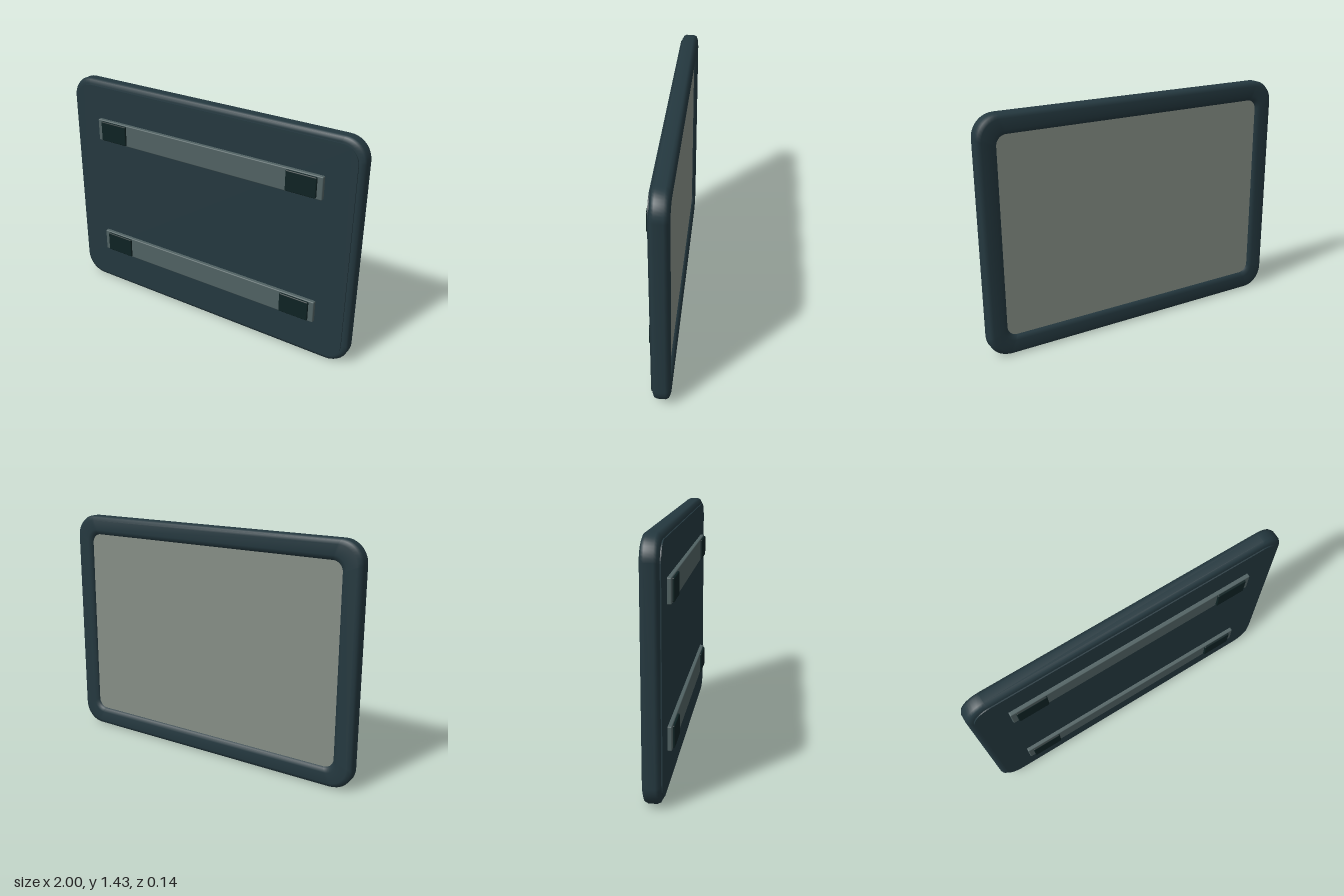
import * as THREE from 'three';
import { RoundedBoxGeometry } from 'three/addons/geometries/RoundedBoxGeometry.js';

const W = 1, H = 0.715; // half width and half height

// Rounded rectangle outline, counter-clockwise seen from +z
function outline(hw, hh, r, steps = 10) {
  const pts = [];
  [[1, 1], [-1, 1], [-1, -1], [1, -1]].forEach(([sx, sy], q) => {
    for (let i = 0; i <= steps; i++) {
      const a = (q + i / steps) * Math.PI / 2;
      pts.push(new THREE.Vector2(sx * (hw - r) + r * Math.cos(a), sy * (hh - r) + r * Math.sin(a)));
    }
  });
  return pts;
}

// Chamfered cross-section [inset, z] swept around the outline, smooth shaded
function frameGeometry() {
  const profile = [
    [0.026, 0.03], [0.007, 0.02], [0, 0.004], [0, -0.044], [0.008, -0.062], [0.028, -0.07],
    [0.088, -0.07], [0.11, -0.062], [0.12, -0.044], [0.12, 0.004], [0.095, 0.03],
  ];
  const position = [], index = [];
  const n = outline(W, H, 0.1).length, m = profile.length;
  for (const [d, z] of profile) {
    for (const p of outline(W - d, H - d, 0.13 - 0.6 * d)) position.push(p.x, p.y, z);
  }
  for (let j = 0; j < m; j++) {
    for (let i = 0; i < n; i++) {
      const k = (i + 1) % n, l = (j + 1) % m;
      const a = j * n + i, b = j * n + k, c = l * n + i, e = l * n + k;
      index.push(a, c, b, b, c, e);
    }
  }
  const g = new THREE.BufferGeometry();
  g.setAttribute('position', new THREE.Float32BufferAttribute(position, 3));
  g.setIndex(index);
  g.computeVertexNormals();
  return g;
}

// Flat rounded plate between two depths
function plateGeometry(hw, hh, r, z0, z1) {
  const g = new THREE.ExtrudeGeometry(new THREE.Shape(outline(hw, hh, r)), { depth: z1 - z0, bevelEnabled: false });
  return g.translate(0, 0, z0);
}

export function createModel() {
  const mat = (name, color) => {
    const m = new THREE.MeshStandardMaterial({ color });
    m.name = name;
    return m;
  };
  const casing = mat('dark slate casing', 0x24383f);
  const metal = mat('grey rail', 0x506162);
  const rubber = mat('black green rubber', 0x0e2223);
  const glass = mat('pale grey surface', 0x868e86);

  const model = new THREE.Group();
  model.name = 'framedPanel';
  const add = (name, geometry, material, x, y, z) => {
    const mesh = new THREE.Mesh(geometry, material);
    mesh.name = name;
    mesh.position.set(x, y, z);
    model.add(mesh);
  };

  // Casing: surrounding frame, front cover and the recessed sheet behind
  add('frame', frameGeometry(), casing, 0, H, 0);
  add('coverPlate', plateGeometry(0.965, 0.68, 0.105, 0.0, 0.037), casing, 0, H, 0);
  add('displaySheet', plateGeometry(0.9, 0.615, 0.07, -0.05, -0.005), glass, 0, H, 0);

  // Two mounting rails, each with a pad near both ends
  const rail = new RoundedBoxGeometry(1.57, 0.14, 0.03, 2, 0.006);
  const pad = new RoundedBoxGeometry(0.19, 0.126, 0.03, 2, 0.006);
  for (const y of [0.32, 1.12]) {
    add('rail', rail, metal, 0, y, 0.045);
    for (const s of [-1, 1]) add('pad', pad, rubber, s * 0.657, y, 0.057);
  }
  return model;
}
